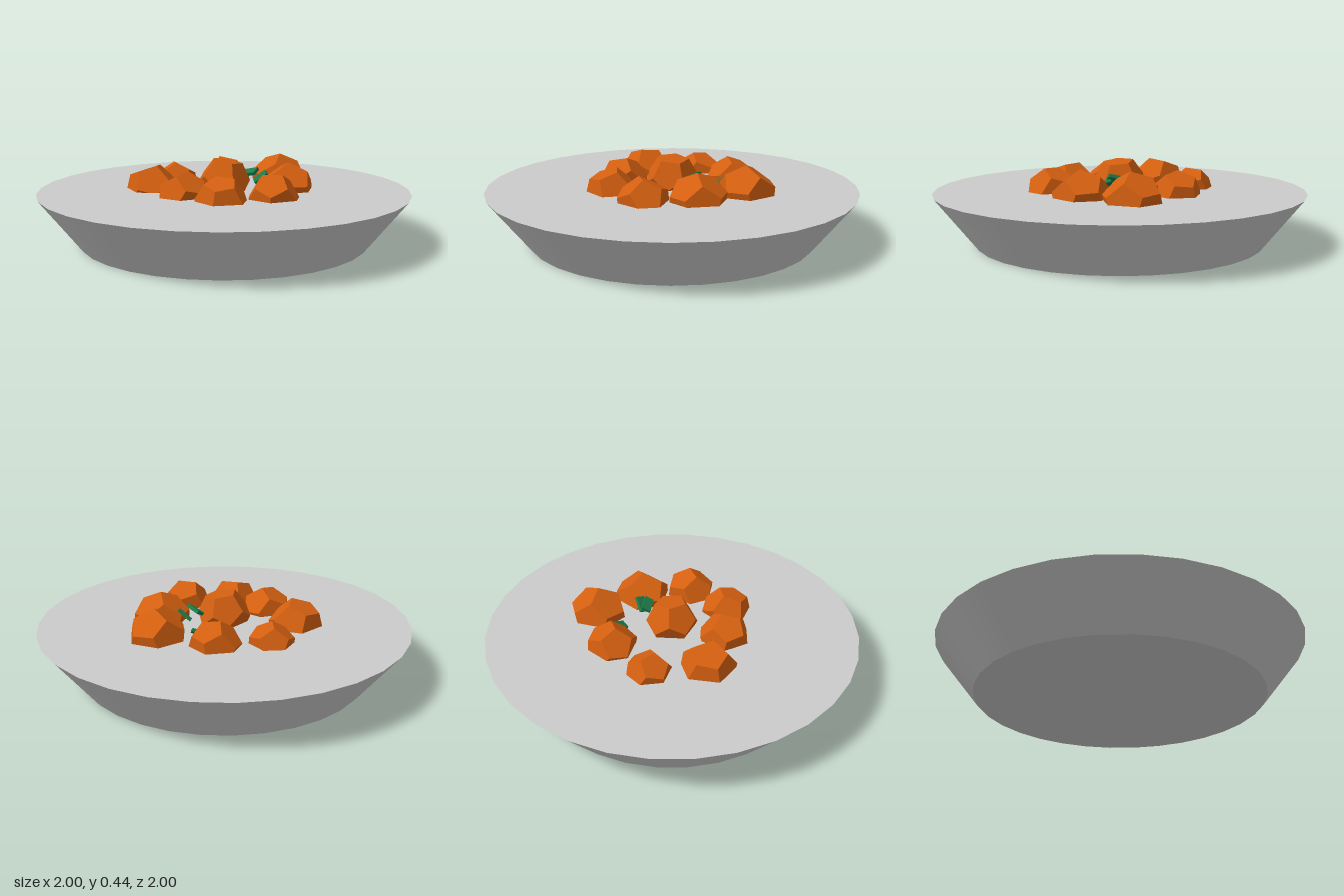
import * as THREE from 'three';

// Frame built from a face normal and a direction lying in that face
function frame(n, v) {
  const z = n.clone().normalize();
  const x = v.clone().addScaledVector(z, -v.dot(z)).normalize();
  return new THREE.Matrix4().makeBasis(x, new THREE.Vector3().crossVectors(z, x), z);
}

const PHI = (1 + Math.sqrt(5)) / 2;
const FACE = frame(new THREE.Vector3(1, 0, PHI), new THREE.Vector3(PHI, 0, 1 / PHI)).transpose();

// Turn a dodecahedron so one face points to (nx, nz) and has a corner towards (dx, dz) from above
function faceUp(mesh, nx, nz, dx, dz) {
  const ny = Math.sqrt(1 - nx * nx - nz * nz);
  const v = new THREE.Vector3(dx, -(nx * dx + nz * dz) / ny, dz);
  mesh.quaternion.setFromRotationMatrix(frame(new THREE.Vector3(nx, ny, nz), v).multiply(FACE));
}

export function createModel() {
  const model = new THREE.Group();
  model.name = 'plateOfFood';
  const grey = new THREE.MeshStandardMaterial({ color: 0xcccccc });
  const orange = new THREE.MeshStandardMaterial({ color: 0xd35f10, flatShading: true });
  const green = new THREE.MeshStandardMaterial({ color: 0x1e7a48, flatShading: true });

  // Solid tapered plate
  const plate = new THREE.Mesh(new THREE.CylinderGeometry(1, 0.78, 0.28, 32), grey);
  plate.name = 'plate';
  plate.position.y = 0.14;
  model.add(plate);

  // Faceted food pieces: x, y, z, radius, face tilt (nx, nz), corner direction (dx, dz)
  const pieces = [
    [0.01, 0.27, -0.425, 0.163, -0.24, -0.53, 3, -17],
    [0.24, 0.265, -0.245, 0.16, 0, -0.6, 9, -12],
    [-0.255, 0.27, -0.25, 0.14, -0.1, -0.45, 13, -16],
    [-0.4, 0.265, 0, 0.125, 0.2, -0.45, -12, -14],
    [0, 0.32, 0, 0.142, 0.1, -0.1, -9, -16],
    [0.365, 0.27, 0, 0.142, -0.28, -0.33, 13, -18],
    [-0.275, 0.27, 0.275, 0.15, 0.5, -0.5, -8, -16],
    [0, 0.27, 0.295, 0.142, -0.4, 0.25, -9, -17],
    [0.24, 0.27, 0.245, 0.14, -0.28, -0.65, 13, -11],
  ];
  const foodPieces = new THREE.Group();
  foodPieces.name = 'foodPieces';
  for (const [x, y, z, r, ...tilt] of pieces) {
    const piece = new THREE.Mesh(new THREE.DodecahedronGeometry(r), orange);
    piece.name = 'foodPiece';
    piece.position.set(x, y, z);
    faceUp(piece, ...tilt);
    foodPieces.add(piece);
  }
  model.add(foodPieces);

  // Thin herb flakes tucked between the pieces: position, then rotation
  const flakes = [
    [-0.11, 0.31, -0.26, 0.3, -0.6, -0.3],
    [0.085, 0.33, -0.2, 0.5, 0.9, 0.3],
    [0.05, 0.36, -0.155, 0.5, 0.2, 0.15],
  ];
  const herbs = new THREE.Group();
  herbs.name = 'herbs';
  for (const [x, y, z, ...turn] of flakes) {
    const flake = new THREE.Mesh(new THREE.BoxGeometry(0.085, 0.018, 0.05), green);
    flake.name = 'herbFlake';
    flake.position.set(x, y, z);
    flake.rotation.set(...turn);
    herbs.add(flake);
  }
  model.add(herbs);

  return model;
}
